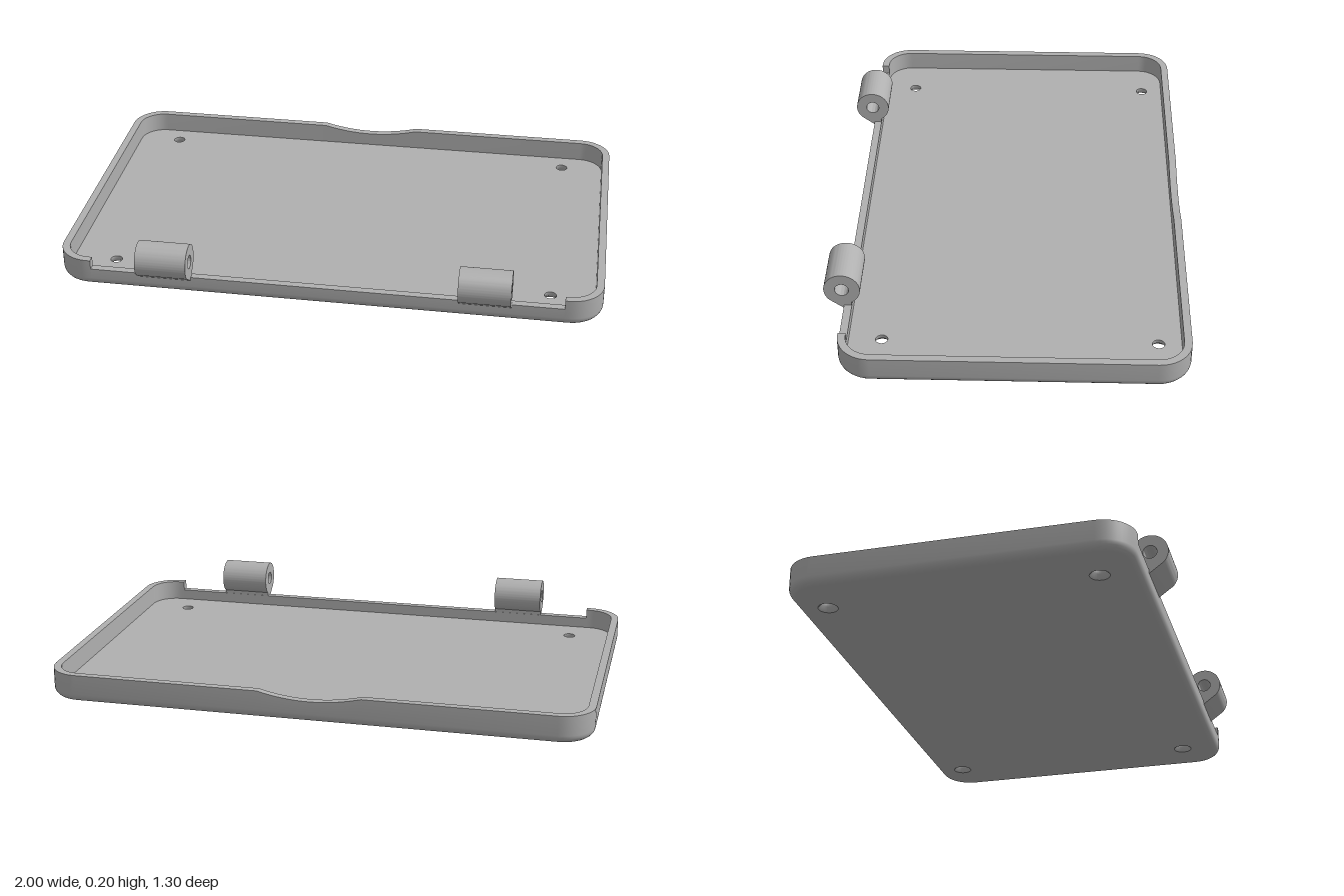
import * as THREE from 'three';
import { toCreasedNormals } from 'three/addons/utils/BufferGeometryUtils.js';

const R = 0.12, CX = 1 - R, ZF = 0.58 - R, ZB = -0.65 + R; // corner radius and centres
const WALL = 0.028, FLOOR = 0.03, TOP = 0.105, STEP = 0.07, FILLET = 0.032;

// Perimeter samples: corner centre or straight point, outward direction, rim height
function perimeter() {
  const pts = [];
  const corner = (x, z, start) => {
    for (let i = 0; i <= 10; i++) {
      const a = start + (i / 10) * Math.PI / 2;
      pts.push({ x, z, dx: Math.cos(a), dz: Math.sin(a), top: TOP });
    }
  };
  corner(CX, ZF, 0);
  // lowered hinge side
  for (const [x, top] of [[0.865, TOP], [0.865, STEP], [-0.865, STEP], [-0.865, TOP]]) {
    pts.push({ x, z: ZF, dx: 0, dz: 1, top });
  }
  corner(-CX, ZF, Math.PI / 2);
  corner(-CX, ZB, Math.PI);
  // shallow thumb dip in the back wall
  for (let i = 0; i <= 16; i++) {
    const t = i / 8 - 1;
    pts.push({ x: t * 0.19, z: ZB, dx: 0, dz: -1, top: TOP - 0.025 * (1 - t * t) });
  }
  corner(CX, ZB, Math.PI * 1.5);
  return pts;
}

// Wall section swept round the perimeter: bottom fillet, outside, rim, inside
function wallGeometry(pts) {
  const rows = [];
  for (let i = 0; i <= 6; i++) {
    const a = (i / 6) * Math.PI / 2;
    rows.push([FILLET * (1 - Math.sin(a)), FILLET * (1 - Math.cos(a))]);
  }
  rows.push([0, null], [WALL, null], [WALL, FLOOR]); // null = rim height
  const pos = [], index = [], n = pts.length;
  for (const [inset, y] of rows) {
    for (const p of pts) {
      pos.push(p.x + p.dx * (R - inset), y === null ? p.top : y, p.z + p.dz * (R - inset));
    }
  }
  for (let i = 0; i < rows.length - 1; i++) {
    for (let j = 0; j < n; j++) {
      const a = i * n + j, c = i * n + (j + 1) % n;
      index.push(a, a + n, c, c, a + n, c + n);
    }
  }
  const g = new THREE.BufferGeometry();
  g.setAttribute('position', new THREE.Float32BufferAttribute(pos, 3));
  g.setIndex(index);
  return toCreasedNormals(g, 0.5);
}

const HOLES = [[-0.81, -0.54], [0.81, -0.54], [-0.81, 0.435], [0.81, 0.435]];

// Flat rounded plate with screw holes, facing up (1) or down (-1)
function plateGeometry(pts, inset, holeRadius, facing) {
  const shape = new THREE.Shape(pts.filter((p) => p.dx * p.dz !== 0 || Math.abs(p.x) === CX)
    .map((p) => new THREE.Vector2(p.x + p.dx * (R - inset), -facing * (p.z + p.dz * (R - inset)))));
  for (const [x, z] of HOLES) {
    shape.holes.push(new THREE.Path().absarc(x, -facing * z, holeRadius, 0, Math.PI * 2, true));
  }
  return new THREE.ShapeGeometry(shape, 12).rotateX(-facing * Math.PI / 2);
}

// Hinge barrel with a 45 degree gusset merging into the wall
function knuckleGeometry() {
  const z = 0.585, y = 0.14, r = 0.065, width = 0.188;
  const s = new THREE.Shape();
  s.moveTo(0.575, 0.038);
  s.absarc(z, y, r, -Math.PI / 4, Math.PI * 1.335, false);
  s.lineTo(0.554, 0.038);
  s.closePath();
  s.holes.push(new THREE.Path().absarc(z, y, 0.025, 0, Math.PI * 2, true));
  const g = new THREE.ExtrudeGeometry(s, { depth: width, bevelEnabled: false, curveSegments: 32 });
  return toCreasedNormals(g.translate(0, 0, -width / 2).rotateY(-Math.PI / 2), 0.5);
}

export function createModel() {
  const group = new THREE.Group();
  const grey = new THREE.MeshStandardMaterial({ color: 0xb0b0b0, side: THREE.DoubleSide });
  grey.name = 'grey plastic';
  const add = (name, geometry, x = 0, z = 0) => {
    const mesh = new THREE.Mesh(geometry, grey);
    mesh.name = name;
    mesh.position.set(x, 0, z);
    group.add(mesh);
  };

  // Tray
  const pts = perimeter();
  add('trayWall', wallGeometry(pts));
  add('trayFloor', plateGeometry(pts, WALL, 0.022, 1).translate(0, FLOOR, 0));
  add('trayUnderside', plateGeometry(pts, FILLET, 0.036, -1));

  // Countersunk screw holes
  const bore = [[0.022, FLOOR], [0.022, 0.016], [0.036, 0]].map((p) => new THREE.Vector2(...p));
  for (const [x, z] of HOLES) add('screwHole', new THREE.LatheGeometry(bore, 24), x, z);

  // Hinge knuckles
  for (const side of [-1, 1]) add(side > 0 ? 'leftKnuckle' : 'rightKnuckle', knuckleGeometry(), side * 0.583);
  return group;
}
